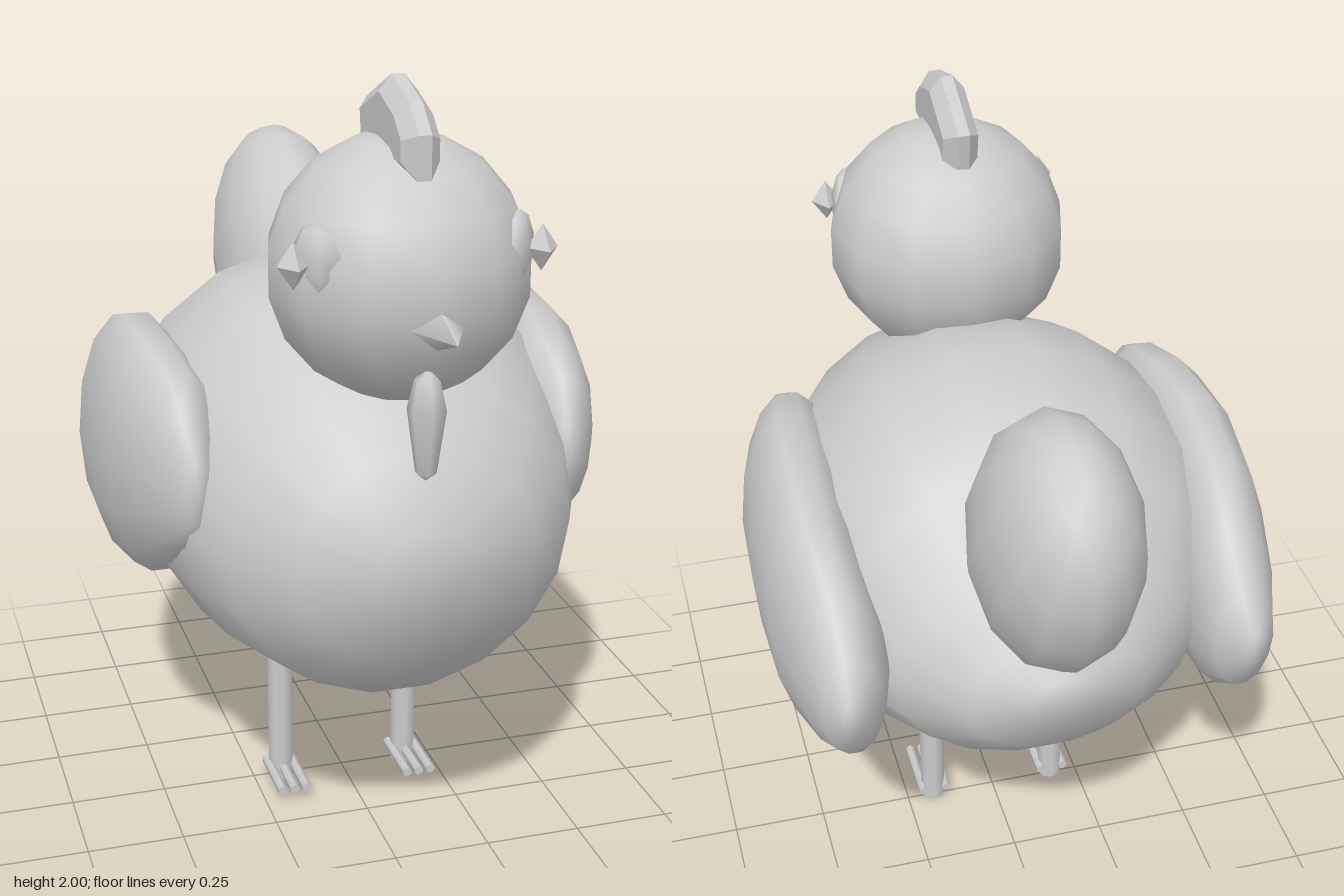
import * as THREE from 'three';

const plumage = new THREE.MeshStandardMaterial({ color: 0xcccccc });
plumage.name = 'light grey';

// Smooth hull through oval sections listed front to back: [z, bottom, top, middle x, half width]
function loft(sections, sides, side = 1) {
  const pos = [], idx = [], n = sections.length;
  for (const [z, lo, hi, cx, hw] of sections) {
    for (let j = 0; j < sides; j++) {
      const a = (j / sides) * Math.PI * 2;
      pos.push(side * cx + hw * Math.cos(a), (lo + hi) / 2 + ((hi - lo) / 2) * Math.sin(a), z);
    }
  }
  for (let i = 0; i < n - 1; i++) {
    for (let j = 0; j < sides; j++) {
      const a = i * sides + j, b = i * sides + (j + 1) % sides;
      idx.push(a, a + sides, b, b, a + sides, b + sides);
    }
  }
  // End caps
  for (const i of [0, n - 1]) {
    const [z, lo, hi, cx] = sections[i], c = pos.length / 3;
    pos.push(side * cx, (lo + hi) / 2, z);
    for (let j = 0; j < sides; j++) {
      const a = i * sides + j, b = i * sides + (j + 1) % sides;
      if (i === 0) idx.push(c, a, b); else idx.push(c, b, a);
    }
  }
  const g = new THREE.BufferGeometry();
  g.setAttribute('position', new THREE.Float32BufferAttribute(pos, 3));
  g.setIndex(idx);
  g.computeVertexNormals();
  return g;
}

export function createModel() {
  const model = new THREE.Group();
  model.name = 'hen';
  const add = (name, geometry, x = 0, y = 0, z = 0, parent = model) => {
    const m = new THREE.Mesh(geometry, plumage);
    m.name = name;
    m.position.set(x, y, z);
    parent.add(m);
    return m;
  };

  // Plump body, tapering up toward the back
  add('body', loft([
    [0.72, 0.80, 1.00, 0, 0.12], [0.65, 0.63, 1.16, 0, 0.30], [0.52, 0.49, 1.30, 0, 0.43],
    [0.35, 0.45, 1.38, 0, 0.51], [0.17, 0.42, 1.46, 0, 0.55], [0.00, 0.42, 1.48, 0, 0.56],
    [-0.20, 0.46, 1.45, 0, 0.55], [-0.35, 0.52, 1.37, 0, 0.49], [-0.50, 0.60, 1.20, 0, 0.38],
    [-0.62, 0.72, 1.04, 0, 0.22], [-0.68, 0.86, 0.97, 0, 0.08],
  ], 18));

  // Upright rounded tail leaning back
  const tail = add('tail', new THREE.SphereGeometry(1, 12, 9), 0, 1.3, -0.56);
  tail.scale.set(0.2, 0.39, 0.3);
  tail.rotation.x = -0.6;

  // Head
  add('head', new THREE.SphereGeometry(0.312, 12, 9), 0, 1.56, 0.465);

  // Comb: bevelled blade along the crown
  const outline = new THREE.Shape([
    [0.67, 1.80], [0.67, 1.90], [0.60, 1.96], [0.47, 2.00], [0.29, 1.92], [0.31, 1.80],
  ].map(([z, y]) => new THREE.Vector2(z, y)));
  const blade = new THREE.ExtrudeGeometry(outline, {
    depth: 0.03, bevelEnabled: true, bevelThickness: 0.03, bevelSize: 0.035, bevelOffset: -0.035, bevelSegments: 1,
  });
  blade.rotateY(-Math.PI / 2);
  add('comb', blade, 0.008);

  // Beak: four-sided point
  const beak = add('beak', new THREE.ConeGeometry(0.085, 0.18, 4), 0, 1.49, 0.79);
  beak.rotation.x = Math.PI / 2;
  beak.scale.z = 0.8;

  // Wattle: hanging drop under the beak
  add('wattle', new THREE.LatheGeometry([
    [0, -0.13], [0.025, -0.11], [0.046, 0.04], [0.03, 0.11], [0, 0.14],
  ].map(([r, y]) => new THREE.Vector2(r, y)), 6), -0.008, 1.25, 0.708);

  for (const s of [1, -1]) {
    const side = s > 0 ? 'left' : 'right';

    // Folded wing
    add(side + 'Wing', loft([
      [0.42, 0.94, 1.10, 0.47, 0.03], [0.36, 0.86, 1.21, 0.48, 0.07], [0.25, 0.78, 1.28, 0.48, 0.12],
      [0.10, 0.69, 1.32, 0.50, 0.14], [-0.10, 0.63, 1.33, 0.51, 0.14], [-0.30, 0.62, 1.27, 0.51, 0.13],
      [-0.48, 0.69, 1.17, 0.49, 0.11], [-0.58, 0.77, 1.06, 0.49, 0.075], [-0.63, 0.88, 0.97, 0.50, 0.025],
    ], 14, s));

    // Eye: kite-shaped patch with a faceted pupil
    const patch = add(side + 'EyePatch', new THREE.SphereGeometry(1, 6, 5), s * 0.235, 1.62, 0.612);
    patch.scale.set(0.075, 0.09, 0.035);
    patch.rotation.y = s * 1.01;
    const pupil = add(side + 'Pupil', new THREE.OctahedronGeometry(1), s * 0.29, 1.62, 0.62);
    pupil.scale.set(0.038, 0.055, 0.052);

    // Leg and three forward toes
    const leg = new THREE.Group();
    leg.name = side + 'Leg';
    leg.position.set(s * 0.175, 0, 0.01);
    model.add(leg);
    add('shank', new THREE.CylinderGeometry(0.034, 0.034, 0.52, 8), 0, 0.26, 0, leg);
    for (const t of [-1, 0, 1]) {
      const toe = add('toe', new THREE.CylinderGeometry(0.013, 0.013, 0.18, 6), t * 0.033, 0.036, 0.06, leg);
      toe.rotation.x = Math.PI / 2;
    }
  }
  return model;
}
